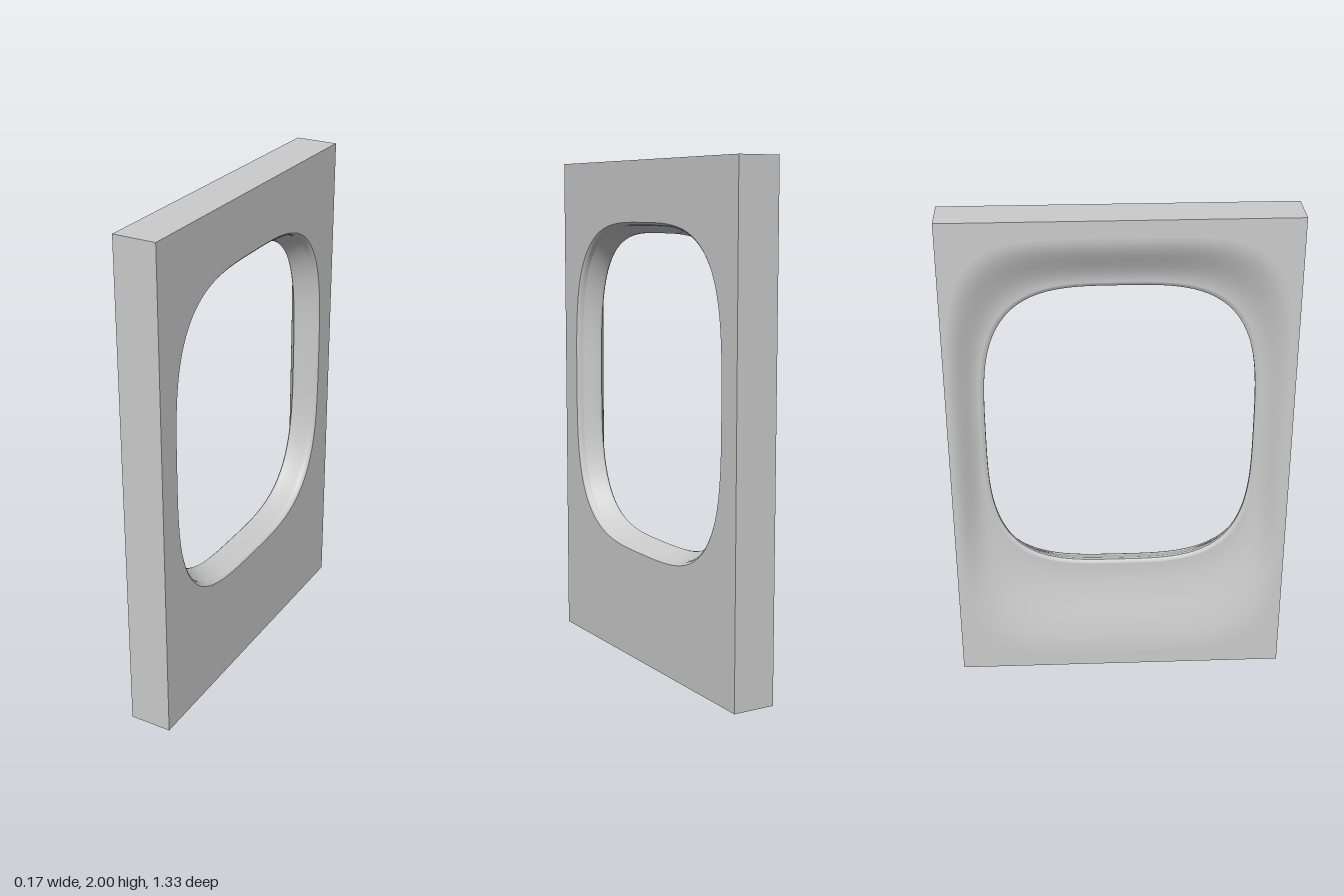
import * as THREE from 'three';

const SEGMENTS = 128; // multiple of 8, so square rings hit their corners
const HALF_X = 0.085, HALF_Z = 0.667;
const lerp = THREE.MathUtils.lerp;

// Ring: a superellipse in the zy plane (power Infinity gives a rectangle)
const ring = (x, halfZ, bottom, top, power) => ({ x, halfZ, bottom, top, power });

function ringPoint({ x, halfZ, bottom, top, power }, i) {
  const angle = (i / SEGMENTS) * Math.PI * 2;
  const c = Math.cos(angle), s = Math.sin(angle);
  const ac = Math.abs(c), as = Math.abs(s);
  const r = power === Infinity ? Math.max(ac, as) : (ac ** power + as ** power) ** (1 / power);
  return [x, (bottom + top) / 2 + (s / r) * (top - bottom) / 2, (c / r) * halfZ];
}

// Skin a series of rings into one smooth surface
function loft(name, rings, flatShading = false) {
  const positions = [], index = [];
  rings.forEach((r, j) => {
    for (let i = 0; i < SEGMENTS; i++) {
      positions.push(...ringPoint(r, i));
      if (j === 0) continue;
      const next = (i + 1) % SEGMENTS;
      const a = (j - 1) * SEGMENTS + i, b = (j - 1) * SEGMENTS + next;
      const c = j * SEGMENTS + i, d = j * SEGMENTS + next;
      index.push(a, c, b, b, c, d);
    }
  });
  const geometry = new THREE.BufferGeometry();
  geometry.setAttribute('position', new THREE.Float32BufferAttribute(positions, 3));
  geometry.setIndex(index);
  geometry.computeVertexNormals();
  const mesh = new THREE.Mesh(geometry, new THREE.MeshStandardMaterial({ color: 0xcccccc, flatShading }));
  mesh.name = name;
  return mesh;
}

export function createModel() {
  const group = new THREE.Group();
  group.name = 'windowPanel';

  const panelEdge = (x) => ring(x, HALF_Z, 0, 2, Infinity);
  // Window outline, grown evenly from the clear opening
  const opening = (x, grow) => ring(x, 0.525 + grow, 0.49 - grow, 1.72 + grow, 3.4);

  const rimOuter = opening(HALF_X, 0.042);
  const rimStep = opening(0.06, 0.03);
  const throat = opening(0, 0);
  const lipEdge = opening(-0.012, 0);
  const lipOuter = opening(-0.02, 0.014);

  // Flat outer face, rounded rim and tapered reveal
  group.add(loft('outerFace', [panelEdge(HALF_X), rimOuter]));
  group.add(loft('outerRim', [rimOuter, opening(0.08, 0.036), opening(0.072, 0.032), rimStep]));
  group.add(loft('windowReveal', [rimStep, opening(0.03, 0.014), throat, lipEdge]));
  group.add(loft('innerLip', [lipEdge, opening(-0.017, 0.005), lipOuter]));

  // Soft dish spreading from the lip to the panel border
  const border = ring(-HALF_X, 0.655, 0.06, 1.93, 5);
  const dish = [];
  for (let k = 0; k <= 16; k++) {
    const t = k / 16, rise = t * t * (3 - 2 * t);
    dish.push(ring(
      lerp(lipOuter.x, border.x, rise),
      lerp(lipOuter.halfZ, border.halfZ, t),
      lerp(lipOuter.bottom, border.bottom, t),
      lerp(lipOuter.top, border.top, t),
      lerp(lipOuter.power, border.power, t),
    ));
  }
  group.add(loft('innerDish', dish));
  group.add(loft('innerBorder', [border, panelEdge(-HALF_X)]));

  // Straight outer walls of the panel
  group.add(loft('panelEdges', [panelEdge(-HALF_X), panelEdge(HALF_X)], true));

  return group;
}
